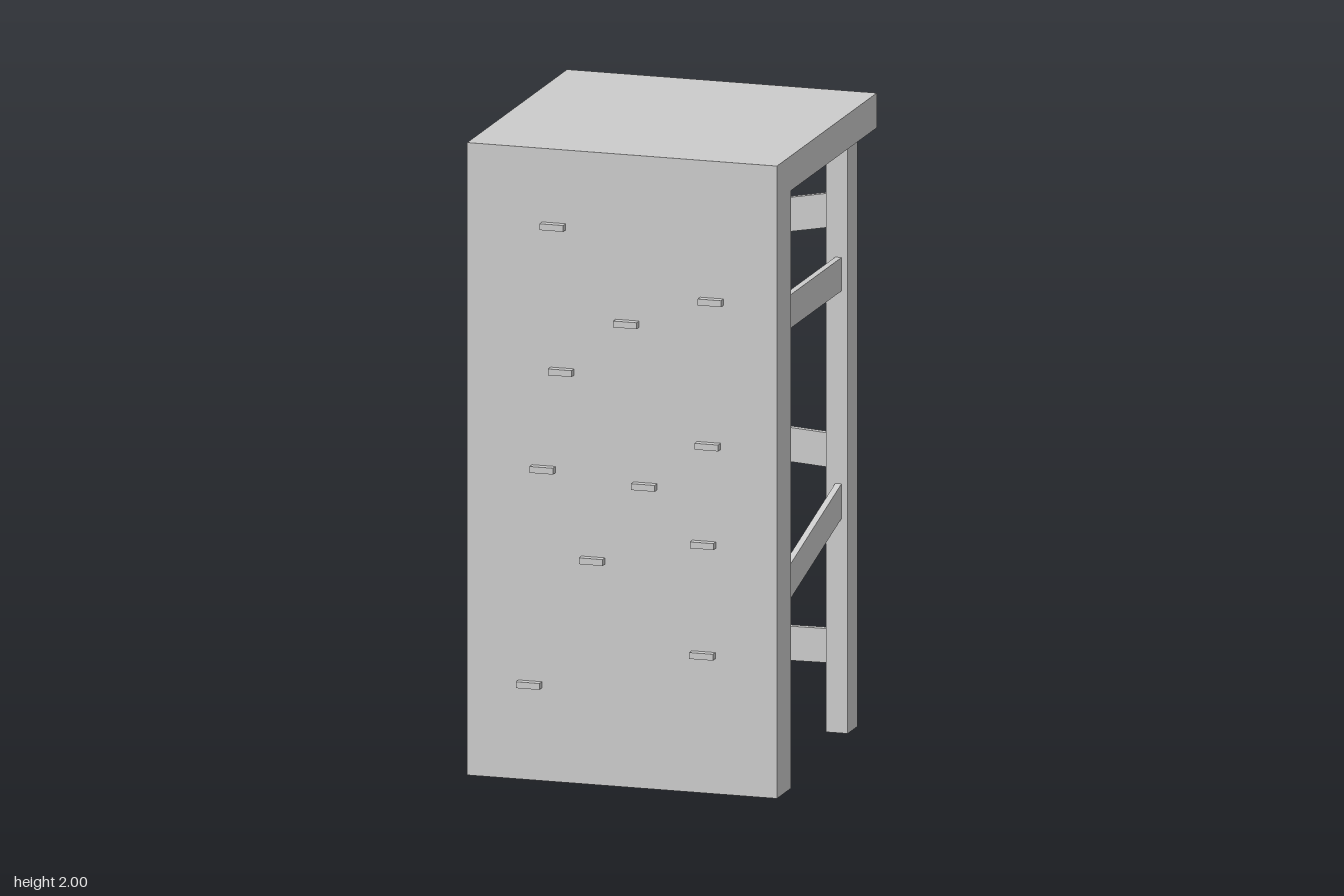
import * as THREE from 'three';

const material = new THREE.MeshStandardMaterial({ color: 0xcccccc, flatShading: true, side: THREE.DoubleSide });

// Removes the faces lying flat on the lowest level, leaving a hollow foot.
function openBottom(geometry) {
  const g = geometry.index ? geometry.toNonIndexed() : geometry;
  g.computeBoundingBox();
  const low = g.boundingBox.min.y + 1e-4;
  const p = g.attributes.position;
  const kept = [];
  for (let i = 0; i < p.count; i += 3) {
    if (p.getY(i) < low && p.getY(i + 1) < low && p.getY(i + 2) < low) continue;
    kept.push(i, i + 1, i + 2);
  }
  g.clearGroups();
  g.setIndex(kept);
  return g;
}

// Box given by its limits on each axis.
function box(x0, x1, y0, y1, z0, z1) {
  return new THREE.BoxGeometry(x1 - x0, y1 - y0, z1 - z0)
    .translate((x0 + x1) / 2, (y0 + y1) / 2, (z0 + z1) / 2);
}

function extrude(points, depth) {
  const shape = new THREE.Shape(points.map(([a, b]) => new THREE.Vector2(a, b)));
  return new THREE.ExtrudeGeometry(shape, { depth, bevelEnabled: false });
}

// Side profile in (z, y), extruded across x and centred on the given x.
function sideProfile(points, x, width) {
  return extrude(points, width).rotateY(-Math.PI / 2).translate(x + width / 2, 0, 0);
}

export function createModel() {
  const group = new THREE.Group();
  const add = (name, geometry) => {
    const mesh = new THREE.Mesh(geometry, material);
    mesh.name = name;
    group.add(mesh);
  };

  const wallFront = 0.488, wallBack = 0.345, slabBack = -0.513, slabUnder = 1.89;

  // Climbing wall and top slab in one L-shaped piece
  add('wallAndTop', openBottom(sideProfile([
    [wallBack, 0], [wallFront, 0], [wallFront, 2],
    [slabBack, 2], [slabBack, slabUnder], [wallBack, slabUnder],
  ], 0, 1)));

  // Back legs
  for (const side of [-1, 1]) {
    const x = side * 0.425;
    add(side > 0 ? 'leftLeg' : 'rightLeg',
      openBottom(box(x - 0.035, x + 0.035, 0.01, slabUnder, -0.445, -0.345)));
  }

  // Level side rails, running through the legs
  const sideRails = [['leftUpperRail', 0.43, 1.408], ['rightUpperRail', -0.43, 1.206], ['rightLowerRail', -0.43, 0.617]];
  for (const [name, x, y] of sideRails) {
    add(name, box(x - 0.01, x + 0.01, y, y + 0.106, -0.455, wallBack));
  }

  // Slanted side rail
  add('leftSlantedRail', sideProfile(
    [[wallBack, 0.505], [wallBack, 0.615], [-0.445, 0.825], [-0.472, 0.722]], 0.43, 0.02));

  // Rails between the legs: lower edge at the right (-x) and left (+x) ends
  const backRails = [['backUpperRail', 1.455, 1.596], ['backMiddleRail', 0.889, 0.836], ['backLowerRail', 0.208, 0.218]];
  for (const [name, yRight, yLeft] of backRails) {
    const h = 0.108;
    add(name, extrude([[-0.39, yRight], [0.39, yLeft], [0.39, yLeft + h], [-0.39, yRight + h]], 0.02)
      .translate(0, 0, -0.41));
  }

  // Climbing holds on the wall front
  const holds = [
    [-0.22, 1.757], [0.29, 1.557], [0.017, 1.467], [-0.193, 1.3], [0.28, 1.1], [-0.253, 0.987],
    [0.075, 0.957], [0.265, 0.787], [-0.093, 0.71], [0.263, 0.437], [-0.297, 0.303],
  ];
  for (const [x, y] of holds) {
    add('hold', box(x - 0.038, x + 0.038, y - 0.01, y + 0.01, wallFront, 0.513));
  }

  return group;
}
